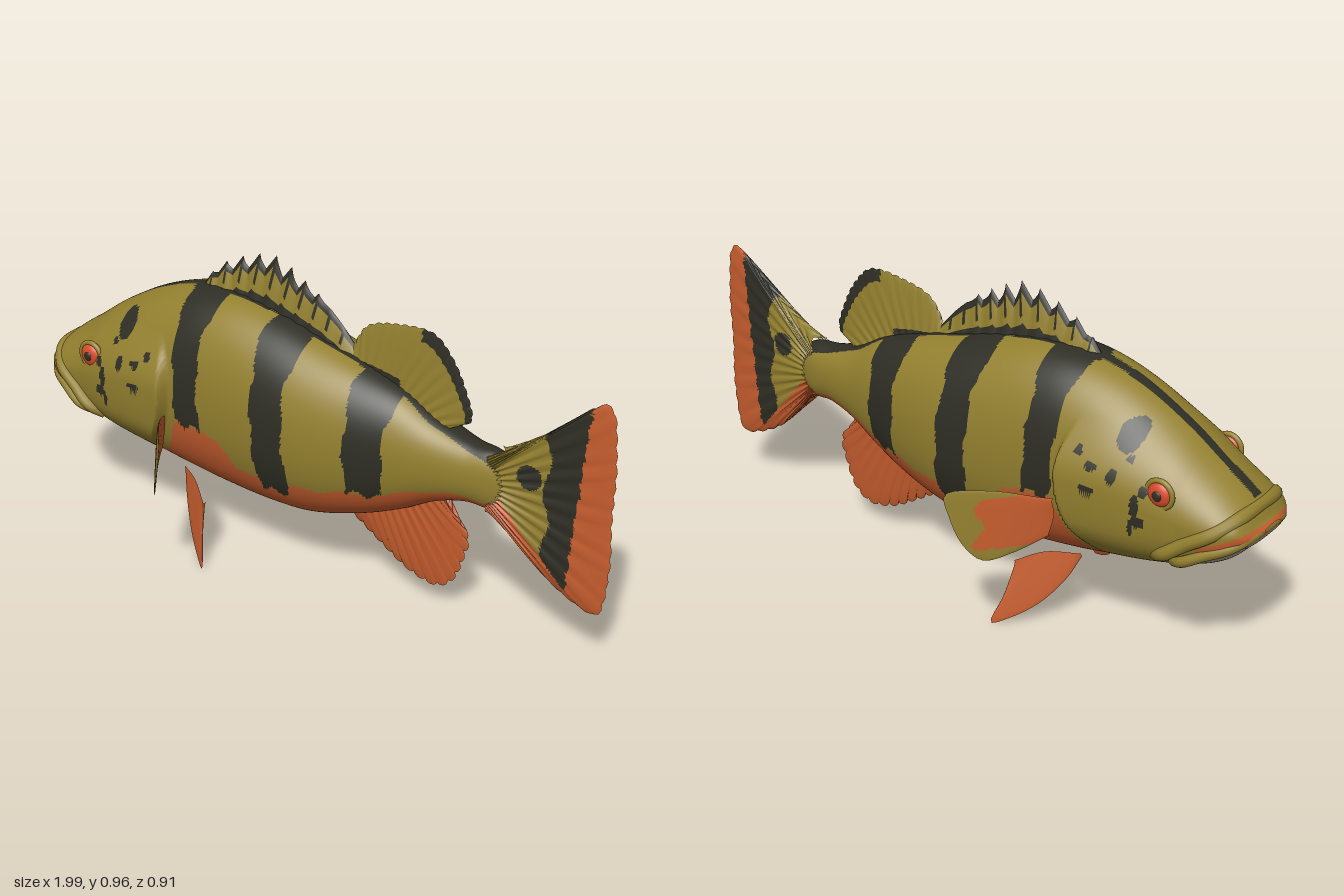
import * as THREE from 'three';

const mat = (name, color) => Object.assign(new THREE.MeshStandardMaterial({ color }), { name });
const OLIVE = 0, DARK = 1, ORANGE = 2, PALE = 3;
const { sin, cos, abs, sign, pow, min, max, PI, hypot, sqrt } = Math;
const step = THREE.MathUtils.smoothstep;

// Body stations: x, top y, bottom y, half width
const STATIONS = [
  [-1, .468, .452, .04], [-.985, .482, .425, .1], [-.96, .525, .4, .135], [-.92, .56, .36, .158], [-.85, .608, .322, .175],
  [-.74, .685, .288, .19], [-.58, .77, .25, .198], [-.42, .816, .215, .197], [-.26, .822, .198, .2],
  [-.1, .795, .193, .2], [.035, .76, .203, .192], [.195, .717, .248, .16], [.33, .672, .305, .122],
  [.435, .615, .362, .092], [.54, .582, .393, .067], [.63, .572, .393, .047], [.72, .52, .44, .004],
];
// Height of the orange belly
const BELLY = [[-.83, .3], [-.79, .316], [-.7, .293], [-.58, .275], [-.5, .285], [-.44, .34], [-.4, .43], [-.28, .42], [-.22, .4],
  [-.17, .34], [0, .335], [.15, .355], [.3, .375], [.42, .415], [.6, .425], [.8, .4]];

// Smooth interpolation of table rows along x
function sample(table, x) {
  const n = table.length;
  let i = 0;
  while (i < n - 2 && x > table[i + 1][0]) i++;
  const a = table[i], b = table[i + 1], p = table[max(i - 1, 0)], q = table[min(i + 2, n - 1)];
  const h = b[0] - a[0], t = min(max((x - a[0]) / h, 0), 1), t2 = t * t, t3 = t2 * t;
  return a.slice(1).map((A, k) => {
    const B = b[k + 1], ma = (B - p[k + 1]) / (b[0] - p[0]) * h, mb = (q[k + 1] - A) / (q[0] - a[0]) * h;
    return A * (2 * t3 - 3 * t2 + 1) + ma * (t3 - 2 * t2 + t) + B * (3 * t2 - 2 * t3) + mb * (t3 - t2);
  });
}

// Grid surface; each triangle goes to the colour group chosen by paint(x, y, z, u, v)
function skin(name, materials, nu, nv, pos, paint, flip = false) {
  const P = [], groups = materials.map(() => []);
  for (let i = 0; i <= nu; i++) for (let j = 0; j <= nv; j++) P.push(...pos(i / nu, j / nv));
  const add = (a, b, c, u, v) => {
    const m = k => (P[a * 3 + k] + P[b * 3 + k] + P[c * 3 + k]) / 3;
    groups[paint(m(0), m(1), m(2), u, v)].push(...(flip ? [a, c, b] : [a, b, c]));
  };
  for (let i = 0; i < nu; i++) for (let j = 0; j < nv; j++) {
    const a = i * (nv + 1) + j, b = a + nv + 1, u = (i + .5) / nu, v = (j + .5) / nv;
    add(a, b, b + 1, u, v);
    add(a, b + 1, a + 1, u, v);
  }
  const geo = new THREE.BufferGeometry();
  geo.setAttribute('position', new THREE.Float32BufferAttribute(P, 3));
  geo.setIndex(groups.flat());
  let start = 0;
  groups.forEach((g, k) => { if (g.length) geo.addGroup(start, g.length, k); start += g.length; });
  geo.computeVertexNormals();
  const mesh = new THREE.Mesh(geo, materials);
  mesh.name = name;
  return mesh;
}

const path = pts => new THREE.CatmullRomCurve3(pts.map(p => new THREE.Vector3(p[0], p[1], p[2] || 0)));

// Raised gill cover, ending in a curved rear edge
function gillBump(x, y) {
  const d = -.435 - pow((y - .53) / .28, 2) * .13 - x;
  const b = d > 0 ? max(0, 1 - d / .36) : max(0, 1 + d / .012);
  return .037 * b * step(y, .25, .4) * (1 - step(y, .53, .7));
}

// Section roundness: the head is narrow above and boxy below
const roundness = (x, up) => .9 + (up ? .2 : -.12) * (1 - step(x, -.7, -.35));

function bodyPoint(u, v) {
  const x = -1 + 1.72 * pow(u, 1.25), [top, bot, w] = sample(STATIONS, x), a = v * 2 * PI;
  const c = cos(a), s = -sin(a), e = roundness(x, c > 0);
  const y = (top + bot) / 2 + (top - bot) / 2 * sign(c) * pow(abs(c), e);
  const side = abs(s) < 1e-6 ? 0 : sign(s);
  return [x, y, side * (w * pow(abs(s), e) + gillBump(x, y) * min(1, abs(s) * 2))];
}

function surfaceZ(x, y) {
  const [top, bot, w] = sample(STATIONS, x), k = (y - (top + bot) / 2) / ((top - bot) / 2), e = roundness(x, k > 0);
  return w * pow(1 - pow(min(1, abs(k)), 2 / e), e / 2) + gillBump(x, y);
}

// Dark marks on the head: x, y, x radius, y radius
const SPOTS = [[-.63, .67, .035, .042], [-.685, .5, .013, .035], [-.695, .455, .024, .018], [-.675, .435, .009, .025], [-.545, .585, .02, .014],
  [-.61, .57, .014, .022], [-.5, .615, .013, .016], [-.54, .515, .026, .012], [-.65, .62, .012, .01], [-.705, .545, .012, .014]];
// Dark bars: centre x, half width at the top, half width below, lowest y
const BARS = [[-.365, .065, .047, .43], [-.06, .066, .055, .3], [.255, .066, .056, .365]];

function paintBody(x, y, z) {
  const wob = .005 * sin(y * 37 + x * 9) + .002 * sin(y * 90 + 2);
  if (x < -.75 && y < .425 - .52 * (x + .955) && y > sample(BELLY, x)[0]) return PALE;
  if (x < -.86 && abs(y - .465 + .45 * (x + 1)) < .014) return ORANGE;
  const [top] = sample(STATIONS, x);
  if (y > top - .06 && x > -.95 && abs(z) < (x < -.45 ? .017 : .036 + wob)) return DARK;
  if (SPOTS.some(s => hypot((x - s[0]) / s[2], (y - s[1]) / s[3]) < 1 + wob * 15)) return DARK;
  for (const [c, wt, wb, low] of BARS) {
    const mid = c + (c < .1 ? (.7 - y) * .05 : 0);
    const half = wb + (wt - wb) * step(y, top - .16, top) + wob;
    if (abs(x - mid) < half && y > low + .012 * sin(x * 90)) return DARK;
  }
  return y < sample(BELLY, x)[0] + .005 * sin(x * 40) ? ORANGE : OLIVE;
}

export function createModel() {
  const model = new THREE.Group();
  const olive = mat('olive', 0x93802f), dark = mat('dark bars', 0x2e2e25), orange = mat('orange', 0xc65d2e);
  const pale = mat('pale chin', 0xb3a39b), eyeRed = mat('eye red', 0xd84a28);
  const mats = [olive, dark, orange, pale];

  model.add(skin('body', mats, 270, 120, bodyPoint, paintBody));

  // Upright fins: two lightly pleated sides meeting at a thin edge
  function midFin(name, rootPts, edgePts, nu, nv, thick, rays, paint, shape) {
    const root = path(rootPts), edge = path(edgePts), fin = new THREE.Group();
    fin.name = name;
    for (const s of [1, -1]) fin.add(skin(name + 'Side', mats, nu, nv, (u, v) => {
      const a = root.getPointAt(u), b = edge.getPointAt(u), [dx, dy] = shape(u);
      const t = thick * pow(1 - v, .7) * (1 + .08 * sin(u * rays * 2 * PI));
      return [a.x + (b.x + dx - a.x) * v, a.y + (b.y + dy - a.y) * v, s * t];
    }, paint, s < 0));
    model.add(fin);
  }

  // Spiny dorsal fin with backward-leaning teeth
  const SPINES = 11, tooth = u => (u * SPINES) % 1;
  midFin('spinyDorsalFin', [[-.46, .77], [-.26, .8], [-.1, .775], [.13, .71]],
    [[-.46, .8], [-.41, .875], [-.34, .925], [-.2, .965], [-.1, .925], [0, .875], [.07, .82], [.13, .755]], 176, 16, .03, SPINES,
    (x, y, z, u, v) => v < .3 || v > .84 || (tooth(u) < .18 && v > .45) ? DARK : OLIVE,
    u => { const f = tooth(u), k = sin(PI * min(1, u * 1.1 + .1)); return [.04 * (1 - f) * k, -.055 * pow(f, .6) * k]; });

  const scallop = (n, d) => u => [d * sin(u * n * 2 * PI), d * cos(u * n * 2 * PI)];
  midFin('softDorsalFin', [[.13, .71], [.25, .67], [.36, .63], [.46, .58]],
    [[.125, .765], [.17, .83], [.275, .862], [.4, .865], [.46, .81], [.505, .73], [.53, .64], [.49, .613], [.45, .6]], 90, 24, .022, 14,
    (x, y, z, u, v) => (v > .84 && x > .36) || (v < .2 && x < .3) ? DARK : OLIVE, scallop(22, .003));

  midFin('analFin', [[.46, .4], [.36, .35], [.25, .3], [.14, .25]],
    [[.46, .345], [.53, .27], [.515, .19], [.48, .11], [.425, .075], [.33, .092], [.25, .135], [.13, .21]], 90, 16, .022, 14,
    () => ORANGE, scallop(16, .006));

  midFin('tailFin', [[.61, .57], [.615, .48], [.61, .395]],
    [[.64, .575], [.8, .69], [.96, .81], [.99, .66], [.988, .48], [.99, .31], [.96, .17], [.9, .178], [.79, .235], [.64, .388]], 120, 44, .04, 20,
    (x, y) => {
      if (x > .915 + (y - .79) * .09 + .003 * sin(y * 110) || y < .425 - 1.1 * (x - .67)) return ORANGE;
      if (hypot(x - .742, y - .54) < .038) return DARK;
      return x > .795 + .012 * sin(y * 34) ? DARK : OLIVE;
    }, scallop(30, .003));

  // Paired fins: curved sheets swept back and outward, with separate inner and outer faces
  function sideFins(name, rootPts, edgePts, zAt, paintOuter) {
    const root = path(rootPts), edge = path(edgePts);
    for (const m of [1, -1]) {
      const fin = new THREE.Group();
      fin.name = (m > 0 ? 'left' : 'right') + name;
      for (const s of [1, -1]) fin.add(skin(fin.name + (s > 0 ? 'Outer' : 'Inner'), mats, 36, 24, (u, v) => {
        const p = root.getPointAt(u).lerp(edge.getPointAt(u), v);
        return [p.x, p.y, m * (zAt(p.x, p.y) + s * .008 * sqrt(1 - v))];
      }, s > 0 ? paintOuter : () => ORANGE, m * s < 0));
      model.add(fin);
    }
  }
  sideFins('PectoralFin', [[-.43, .445], [-.435, .4], [-.43, .345]],
    [[-.43, .45], [-.33, .495], [-.235, .5], [-.245, .43], [-.28, .335], [-.32, .29], [-.37, .305], [-.43, .34]],
    (x, y) => .195 + .265 * pow(max(0, (x + .44) / .205), .8) + .13 * (.42 - y),
    (x, y) => x < -.305 + .01 * sin(y * 60) && y > .325 && y < .475 ? ORANGE : OLIVE);
  sideFins('PelvicFin', [[-.29, .2], [-.36, .23], [-.45, .23]],
    [[-.29, .19], [-.272, .09], [-.25, .005], [-.29, .02], [-.36, .07], [-.42, .15], [-.45, .22]],
    (x, y) => .1 + .6 * (x + .45) + .22 * (.2 - y), () => ORANGE);

  // Lips wrap round the front of the jaws
  function lip(name, half, r) {
    const pts = [...half, ...half.slice(0, -1).reverse().map(([x, y, z]) => [x, y, -z])];
    const mesh = new THREE.Mesh(new THREE.TubeGeometry(path(pts), 60, r, 10), olive);
    mesh.name = name;
    model.add(mesh);
  }
  lip('upperLip', [[-.73, .35, .15], [-.77, .375, .178], [-.83, .42, .172], [-.9, .465, .155], [-.945, .5, .1], [-.955, .51, 0]], .021);
  lip('lowerLip', [[-.78, .34, .14], [-.82, .36, .165], [-.88, .395, .157], [-.945, .427, .13], [-.977, .45, .08], [-.984, .455, 0]], .016);

  // Eyes with a raised lid, a red iris and a dark pupil
  const part = (name, geo, material, x, y, z, flat) => {
    const mesh = new THREE.Mesh(geo, material);
    mesh.name = name;
    mesh.position.set(x, y, z);
    mesh.scale.z = flat;
    model.add(mesh);
  };
  const ball = new THREE.SphereGeometry(.037, 24, 16), pupil = new THREE.SphereGeometry(.016, 20, 12);
  const lid = new THREE.TorusGeometry(.04, .008, 10, 28), ez = surfaceZ(-.75, .55);
  for (const m of [1, -1]) {
    part('eye', ball, eyeRed, -.75, .55, m * ez, .5);
    part('pupil', pupil, dark, -.75, .55, m * (ez + .014), .5);
    part('eyelid', lid, olive, -.75, .55, m * ez, 1);
  }
  return model;
}
